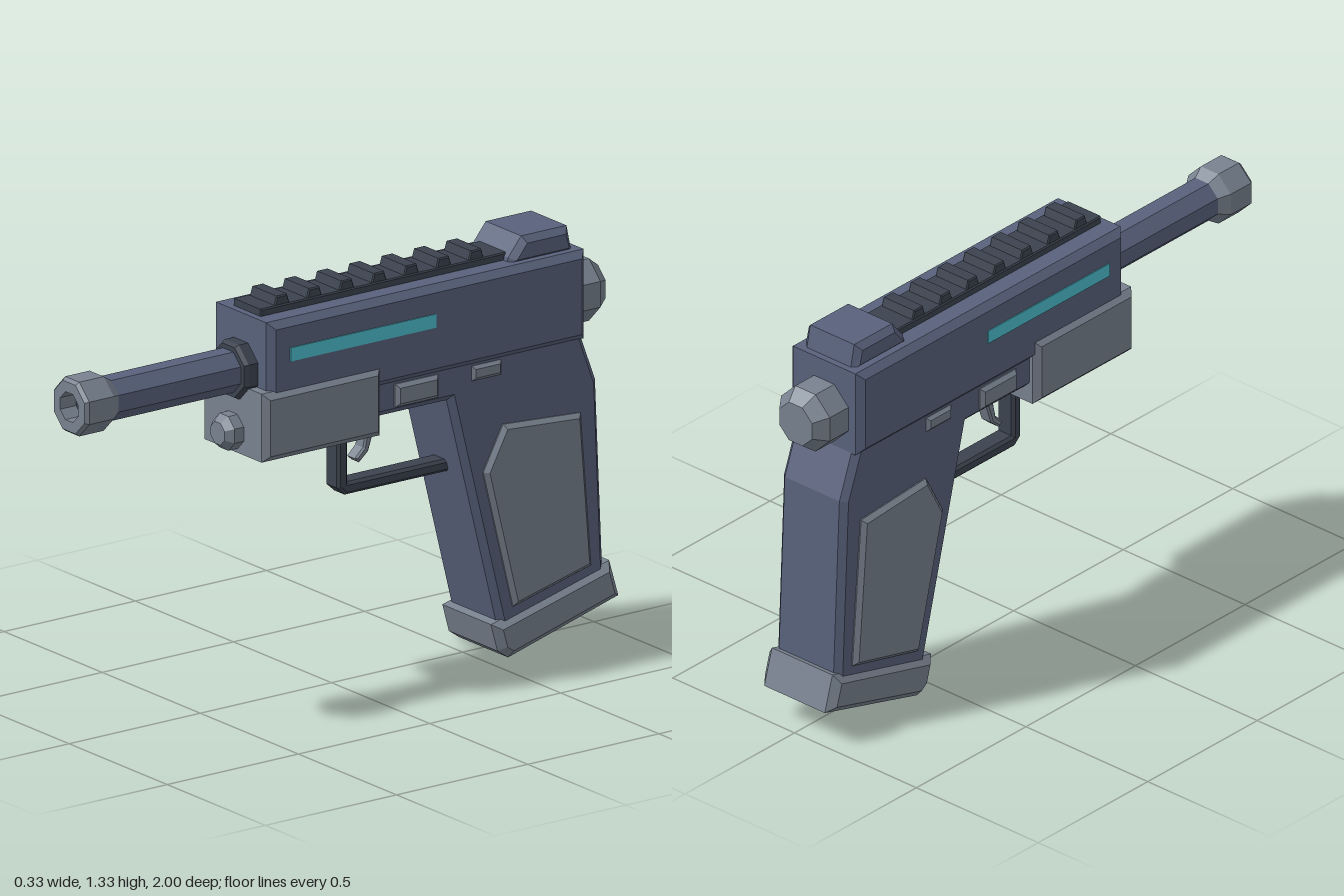
import * as THREE from 'three';

const paint = (name, color) => {
  const m = new THREE.MeshStandardMaterial({ color });
  m.name = name;
  return m;
};

export function createModel() {
  const blue = paint('slate blue', 0x59627c);
  const grey = paint('light grey', 0x78828f);
  const dark = paint('dark grey', 0x3c434f);
  const cyan = paint('cyan', 0x4dc0d0);
  const root = new THREE.Group();

  const add = (name, geometry, material) => {
    const mesh = new THREE.Mesh(geometry, material);
    mesh.name = name;
    root.add(mesh);
    return mesh;
  };

  // Side profile in (z, y), extruded across x with chamfered edges
  const slab = (name, points, width, bevel, material) => {
    const shape = new THREE.Shape(points.map(([z, y]) => new THREE.Vector2(z, y)));
    const g = new THREE.ExtrudeGeometry(shape, {
      depth: width - 2 * bevel, bevelEnabled: bevel > 0, bevelThickness: bevel,
      bevelSize: bevel, bevelOffset: -bevel, bevelSegments: 1,
    });
    g.translate(0, 0, bevel - width / 2);
    g.rotateY(-Math.PI / 2);
    return add(name, g, material);
  };
  const rect = (z0, z1, y0, y1) => [[z0, y0], [z1, y0], [z1, y1], [z0, y1]];

  // Eight-sided turned part along z; points are [half width across flats, z], back to front
  const turned = (name, points, y, material) => {
    const k = 1 / Math.cos(Math.PI / 8);
    const g = new THREE.LatheGeometry(
      points.map(([r, z]) => new THREE.Vector2(r * k, z)), 8, Math.PI / 8).toNonIndexed();
    g.computeVertexNormals();
    g.rotateX(Math.PI / 2);
    g.translate(0, y, 0);
    return add(name, g, material);
  };

  // Upper body and one-piece frame with grip
  slab('upperBody', rect(-0.865, 0.345, 0.97, 1.257), 0.3, 0.022, blue);
  slab('gripFrame', [
    [0, 1.0], [0, 0.868], [-0.354, 0.868], [-0.55, 0.09],
    [-0.948, 0.19], [-0.92, 0.825], [-0.862, 0.98], [-0.855, 1.0],
  ], 0.264, 0.02, blue);
  slab('gripPanels', [
    [-0.552, 0.757], [-0.847, 0.737], [-0.887, 0.24], [-0.59, 0.165], [-0.477, 0.617],
  ], 0.3, 0.014, grey);
  slab('gripBase', [
    [-0.515, 0.118], [-0.965, 0.237], [-1.0, 0.118], [-0.58, 0], [-0.54, 0.028],
  ], 0.296, 0.024, grey);

  // Housing under the barrel with its front knob
  slab('frontHousing', rect(-0.075, 0.375, 0.818, 1.038), 0.33, 0.02, grey);
  turned('housingKnob', [[0.055, 0.36], [0.055, 0.41], [0.035, 0.434], [0, 0.434]], 0.886, grey);

  // Barrel, collar, hollow muzzle and rear cap
  const axis = 1.081;
  turned('barrel', [[0.065, 0.34], [0.065, 0.89]], axis, blue);
  turned('barrelCollar', [[0.087, 0.34], [0.087, 0.38], [0.08, 0.394], [0, 0.394]], axis, dark);
  turned('muzzle', [
    [0.064, 0.858], [0.087, 0.895], [0.087, 0.988], [0.078, 1], [0.045, 1], [0.045, 0.94],
  ], axis, grey);
  turned('bore', [[0.046, 0.94], [0, 0.94]], axis, dark);
  turned('rearCap', [[0, -0.995], [0.067, -0.995], [0.1, -0.95], [0.1, -0.86]], 1.087, grey);

  // Toothed top rail and rear sight
  slab('railBase', rect(-0.62, 0.322, 1.25, 1.28), 0.14, 0.004, dark);
  for (let i = 0; i < 7; i++) {
    const z = 0.236 - i * 0.1233;
    slab('railTooth', [
      [z - 0.03, 1.275], [z + 0.03, 1.275], [z + 0.02, 1.308], [z - 0.02, 1.308],
    ], 0.13, 0.004, dark);
  }
  slab('rearSight', [
    [-0.6, 1.245], [-0.606, 1.27], [-0.655, 1.33], [-0.828, 1.33], [-0.846, 1.245],
  ], 0.22, 0.02, blue);

  // Trigger and guard
  slab('triggerGuard', [
    [0, 0.84], [0, 0.632], [-0.03, 0.605], [-0.44, 0.605],
    [-0.44, 0.645], [-0.04, 0.645], [-0.04, 0.84],
  ], 0.07, 0.009, dark);
  slab('trigger', [
    [-0.105, 0.88], [-0.118, 0.8], [-0.105, 0.74], [-0.074, 0.71],
    [-0.09, 0.695], [-0.125, 0.725], [-0.15, 0.8], [-0.153, 0.88],
  ], 0.05, 0.006, grey);

  // Small raised controls showing on both sides
  slab('frameCatch', rect(-0.305, -0.14, 0.892, 0.966), 0.296, 0.012, grey);
  slab('frameButton', rect(-0.547, -0.434, 0.918, 0.966), 0.286, 0.01, grey);

  // Glowing side stripes
  for (const side of [1, -1]) {
    const g = new THREE.BoxGeometry(0.006, 0.044, 0.555);
    g.translate(side * 0.15, 1.146, -0.008);
    add(side > 0 ? 'leftStripe' : 'rightStripe', g, cyan);
  }

  return root;
}
